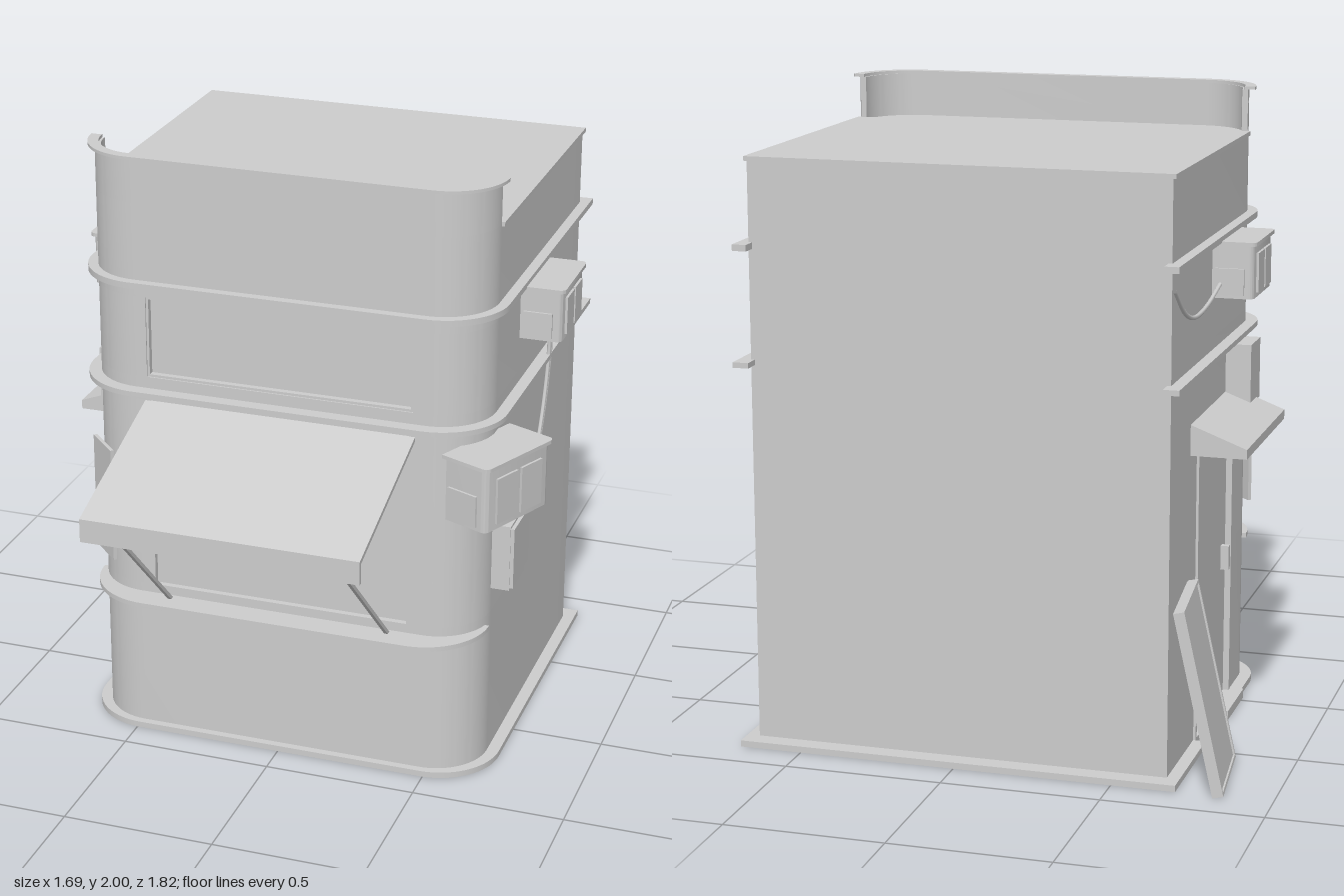
import * as THREE from 'three';
import { toCreasedNormals } from 'three/addons/utils/BufferGeometryUtils.js';

const PI = Math.PI;

// Plan outline with rounded front corners. Options: front recess, door recess on the -x side, or wall thickness t.
function plan(hw, zf, r, zb, { front, door, t } = {}) {
  const s = new THREE.Shape();
  const cx = hw - r, cy = r - zf;
  s.moveTo(-hw, -zb);
  if (door) {
    const [z0, z1, d] = door;
    for (const [x, z] of [[-hw, z0], [-hw + d, z0], [-hw + d, z1], [-hw, z1]]) s.lineTo(x, -z);
  }
  s.lineTo(-hw, cy);
  s.absarc(-cx, cy, r, PI, 1.5 * PI, false);
  if (front) {
    const [w, d] = front;
    for (const [x, z] of [[-w, zf], [-w, zf - d], [w, zf - d], [w, zf]]) s.lineTo(x, -z);
  }
  s.absarc(cx, cy, r, 1.5 * PI, 2 * PI, false);
  s.lineTo(hw, -zb);
  if (t) {
    s.lineTo(hw - t, -zb);
    s.absarc(cx, cy, r - t, 2 * PI, 1.5 * PI, true);
    s.absarc(-cx, cy, r - t, 1.5 * PI, PI, true);
    s.lineTo(-hw + t, -zb);
  }
  s.closePath();
  return s;
}

function rectFrame(w, h, b) {
  const rect = (C, x, y) => new C().moveTo(-x, -y).lineTo(x, -y).lineTo(x, y).lineTo(-x, y).closePath();
  const s = rect(THREE.Shape, w / 2, h / 2);
  s.holes.push(rect(THREE.Path, w / 2 - b, h / 2 - b));
  return s;
}

export function createModel() {
  const model = new THREE.Group();
  model.name = 'kiosk';
  const grey = new THREE.MeshStandardMaterial({ color: 0xcccccc });
  grey.name = 'plain grey';

  const add = (name, geo, parent = model) => {
    const m = new THREE.Mesh(geo, grey);
    m.name = name;
    parent.add(m);
    return m;
  };
  const box = (name, x0, x1, y0, y1, z0, z1, parent) =>
    add(name, new THREE.BoxGeometry(x1 - x0, y1 - y0, z1 - z0)
      .translate((x0 + x1) / 2, (y0 + y1) / 2, (z0 + z1) / 2), parent);
  const slab = (y0, y1, shape) => {
    const g = new THREE.ExtrudeGeometry(shape, { depth: y1 - y0, bevelEnabled: false, curveSegments: 12 });
    return toCreasedNormals(g.rotateX(-PI / 2).translate(0, y0, 0), 0.5);
  };
  const layer = (name, y0, y1, shape) => add(name, slab(y0, y1, shape));
  const tube = (name, pts, r = 0.007) => {
    const curve = new THREE.CatmullRomCurve3(pts.map(p => new THREE.Vector3(...p)));
    return add(name, new THREE.TubeGeometry(curve, 28, r, 6));
  };
  const rod = (name, a, b, size) => {
    const A = new THREE.Vector3(...a), B = new THREE.Vector3(...b);
    const m = add(name, new THREE.BoxGeometry(size, size, A.distanceTo(B)));
    m.position.copy(A).lerp(B, 0.5);
    m.lookAt(B);
    return m;
  };

  // Walls in stacked layers, with recesses for door, hatch and window
  const door = [-0.47, 0.02, 0.02], hatch = [0.43, 0.02], window_ = [0.442, 0.025];
  const walls = [
    [0, 0.535, { door }], [0.535, 0.96, { door, front: hatch }], [0.96, 1.19, { front: hatch }],
    [1.19, 1.27, {}], [1.27, 1.54, { front: window_ }], [1.54, 1.85, {}],
  ];
  for (const [y0, y1, o] of walls) layer('wall', y0, y1, plan(0.66, 0.37, 0.18, -0.815, o));
  box('roofSlab', -0.67, 0.67, 1.843, 1.857, -0.818, 0.19);
  layer('parapet', 1.85, 1.99, plan(0.66, 0.37, 0.18, 0.195, { t: 0.02 }));
  layer('parapetCap', 1.99, 2, plan(0.683, 0.38, 0.19, 0.195, { t: 0.035 }));

  // Ledges around the walls
  layer('base', 0, 0.02, plan(0.7, 0.395, 0.21, -0.875, { door: [-0.47, 0.02, 0.035] }));
  layer('lowerLedge', 1.215, 1.232, plan(0.698, 0.415, 0.22, -0.87, { t: 0.05 }));
  layer('upperLedge', 1.575, 1.595, plan(0.693, 0.4, 0.21, -0.867, { t: 0.045 }));
  layer('counterShelf', 0.488, 0.504, plan(0.668, 0.457, 0.22, 0.237));

  // Window frame
  add('windowFrame', new THREE.ExtrudeGeometry(rectFrame(0.884, 0.27, 0.008), { depth: 0.02, bevelEnabled: false }))
    .position.set(0, 1.405, 0.345);

  // Hatch canopy with lip and struts
  const canopy = new THREE.Shape([[0.36, 1.177], [0.9, 1.0], [0.9, 0.935], [0.912, 0.935], [0.912, 1.012], [0.36, 1.192]]
    .map(p => new THREE.Vector2(...p)));
  add('canopy', new THREE.ExtrudeGeometry(canopy, { depth: 0.9, bevelEnabled: false })
    .rotateY(-PI / 2).translate(0.45, 0, 0));
  for (const s of [-1, 1]) {
    rod('canopyStrut', [s * 0.365, 1.0, 0.905], [s * 0.372, 0.49, 0.375], 0.012);
  }

  // Flat board on the rounded corner
  const board = add('cornerBoard', new THREE.BoxGeometry(0.145, 0.392, 0.012));
  board.position.set(-0.618, 0.804, 0.33);
  board.rotation.y = -PI / 4;

  // Air conditioner: rounded casing, lid and raised grille panels facing local +x
  const airConditioner = (w, h, l) => {
    const g = new THREE.Group();
    g.name = 'airConditioner';
    const rounded = m => plan(l / 2 + m, w / 2 + m, 0.02, -w / 2 - m);
    add('casing', slab(0, h - 0.01, rounded(0)).rotateY(PI / 2), g);
    add('lid', slab(h - 0.012, h, rounded(0.01)).rotateY(PI / 2), g);
    for (const s of [-1, 1]) {
      const z = s * l * 0.19;
      box('grille', w / 2 - 0.01, w / 2 + 0.008, h * 0.09, h * 0.78, z - l * 0.16, z + l * 0.16, g);
    }
    box('sidePanel', -w * 0.42, w * 0.28, h * 0.06, h * 0.53, l / 2 - 0.01, l / 2 + 0.008, g);
    model.add(g);
    return g;
  };
  airConditioner(0.135, 0.178, 0.265).position.set(0.739, 1.402, -0.152);
  const leftUnit = airConditioner(0.13, 0.178, 0.265);
  leftUnit.position.set(-0.727, 1.402, -0.17);
  leftUnit.rotation.y = PI;
  const corner = airConditioner(0.16, 0.22, 0.31);
  corner.position.set(0.7, 0.945, 0.302);
  corner.rotation.y = -0.41;

  // Fuse box and cables
  box('fuseBox', 0.65, 0.72, 0.62, 0.845, -0.04, 0.2);
  box('fuseBoxDoor', 0.715, 0.732, 0.628, 0.837, 0.055, 0.197);
  for (const d of [0, 0.016]) {
    tube('upperCable', [[0.69, 1.51 - d, -0.27], [0.692, 1.42, -0.325 + d], [0.692, 1.27, -0.348 + d],
      [0.692, 1.08, -0.3 + d], [0.692, 0.87, -0.18 + d], [0.692, 0.69 + d, -0.03]]);
    tube('lowerCable', [[0.7, 1.14 - d, 0.16], [0.7, 1.06, 0.0 + d], [0.69, 0.95, -0.1 + d],
      [0.69, 0.85, -0.11 + d], [0.69, 0.72 + d, -0.03]]);
  }
  tube('leftCable', [[-0.69, 1.45, -0.3], [-0.675, 1.4, -0.42], [-0.67, 1.39, -0.57], [-0.67, 1.43, -0.7], [-0.665, 1.51, -0.8]]);

  // Side door with posts, handle, step and canopy
  box('door', -0.648, -0.638, 0.03, 0.95, -0.46, 0.01);
  for (const z of [-0.47, 0.005]) box('doorPost', -0.668, -0.64, 0.02, 0.96, z, z + 0.015);
  box('doorHandle', -0.675, -0.645, 0.46, 0.54, -0.06, -0.04);
  box('doorStep', -0.712, -0.64, 0, 0.03, -0.2, 0.03);
  const wedge = new THREE.Shape([[-0.65, 0.96], [-0.65, 1.06], [-0.835, 0.99], [-0.835, 0.96]]
    .map(p => new THREE.Vector2(...p)));
  add('doorCanopy', new THREE.ExtrudeGeometry(wedge, { depth: 0.565, bevelEnabled: false }).translate(0, 0, -0.557));
  box('meterBox', -0.742, -0.65, 1.015, 1.212, -0.08, 0.058);

  // Loose framed panel leaning on the wall
  const lean = new THREE.Group();
  lean.name = 'leaningPanel';
  add('panelSheet', new THREE.BoxGeometry(0.022, 0.57, 0.34), lean);
  add('panelRim', new THREE.ExtrudeGeometry(rectFrame(0.35, 0.58, 0.01), { depth: 0.034, bevelEnabled: false })
    .rotateY(PI / 2).translate(-0.017, 0, 0), lean);
  lean.position.set(-0.755, 0.288, -0.728);
  lean.rotation.set(0, 0.11, -0.215, 'YXZ');
  model.add(lean);

  return model;
}
